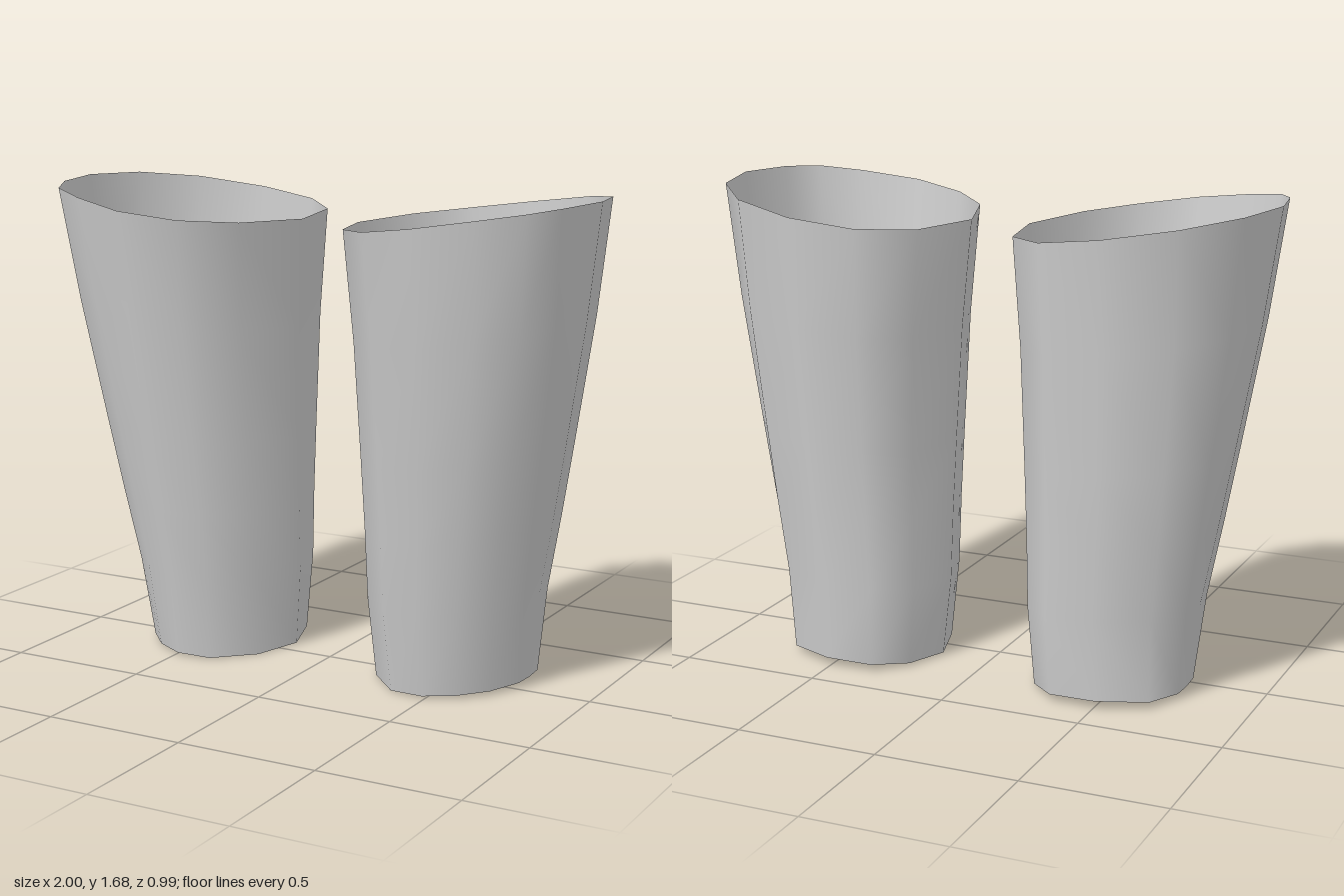
import * as THREE from 'three';

// Matching corners of the lower and upper rims of the left tube: [x, y, z]
const lowerRim = [
  [0.74, 0.02, -0.09], [0.735, 0.02, -0.17], [0.675, 0.025, -0.295], [0.51, 0.03, -0.37],
  [0.34, 0.025, -0.36], [0.24, 0.01, -0.255], [0.187, 0, -0.085], [0.24, 0, 0.1],
  [0.365, 0.003, 0.23], [0.49, 0.008, 0.246], [0.595, 0.012, 0.195], [0.68, 0.015, 0.105],
  [0.736, 0.02, -0.01],
];
const upperRim = [
  [1, 1.685, 0], [0.943, 1.678, -0.235], [0.788, 1.655, -0.415], [0.553, 1.62, -0.495],
  [0.328, 1.59, -0.455], [0.173, 1.575, -0.295], [0.108, 1.57, 0], [0.2, 1.578, 0.275],
  [0.35, 1.593, 0.43], [0.548, 1.62, 0.49], [0.75, 1.65, 0.43], [0.888, 1.67, 0.35],
  [0.957, 1.68, 0.22],
];

// Rings between the rims: [height fraction, sideways shift]
const rings = [[0, 0], [0.18, -0.011], [0.34, -0.002], [0.5, 0.003], [0.76, 0.009], [1, 0]];

// Open tube lofted from rim to rim; side is 1 for left, -1 for right
function tubeGeometry(side) {
  const count = lowerRim.length;
  const positions = [];
  const index = [];
  rings.forEach(([t, shift], row) => {
    for (let i = 0; i < count; i++) {
      const [x, y, z] = lowerRim[i].map((v, k) => THREE.MathUtils.lerp(v, upperRim[i][k], t));
      positions.push(side * (x + shift), y, z);
      if (row === rings.length - 1) continue;
      const a = row * count + i;
      const b = row * count + (i + 1) % count;
      const c = b + count;
      const d = a + count;
      if (side > 0) index.push(a, b, c, a, c, d);
      else index.push(a, c, b, a, d, c);
    }
  });
  const geometry = new THREE.BufferGeometry();
  geometry.setAttribute('position', new THREE.Float32BufferAttribute(positions, 3));
  geometry.setIndex(index);
  geometry.computeVertexNormals();
  return geometry;
}

export function createModel() {
  const group = new THREE.Group();
  group.name = 'pairOfOpenTubes';
  const grey = new THREE.MeshStandardMaterial({ color: 0xcccccc, side: THREE.DoubleSide });
  grey.name = 'light grey';

  // Mirrored pair of tapered sleeves
  for (const side of [1, -1]) {
    const sleeve = new THREE.Mesh(tubeGeometry(side), grey);
    sleeve.name = side > 0 ? 'leftSleeve' : 'rightSleeve';
    group.add(sleeve);
  }
  return group;
}
